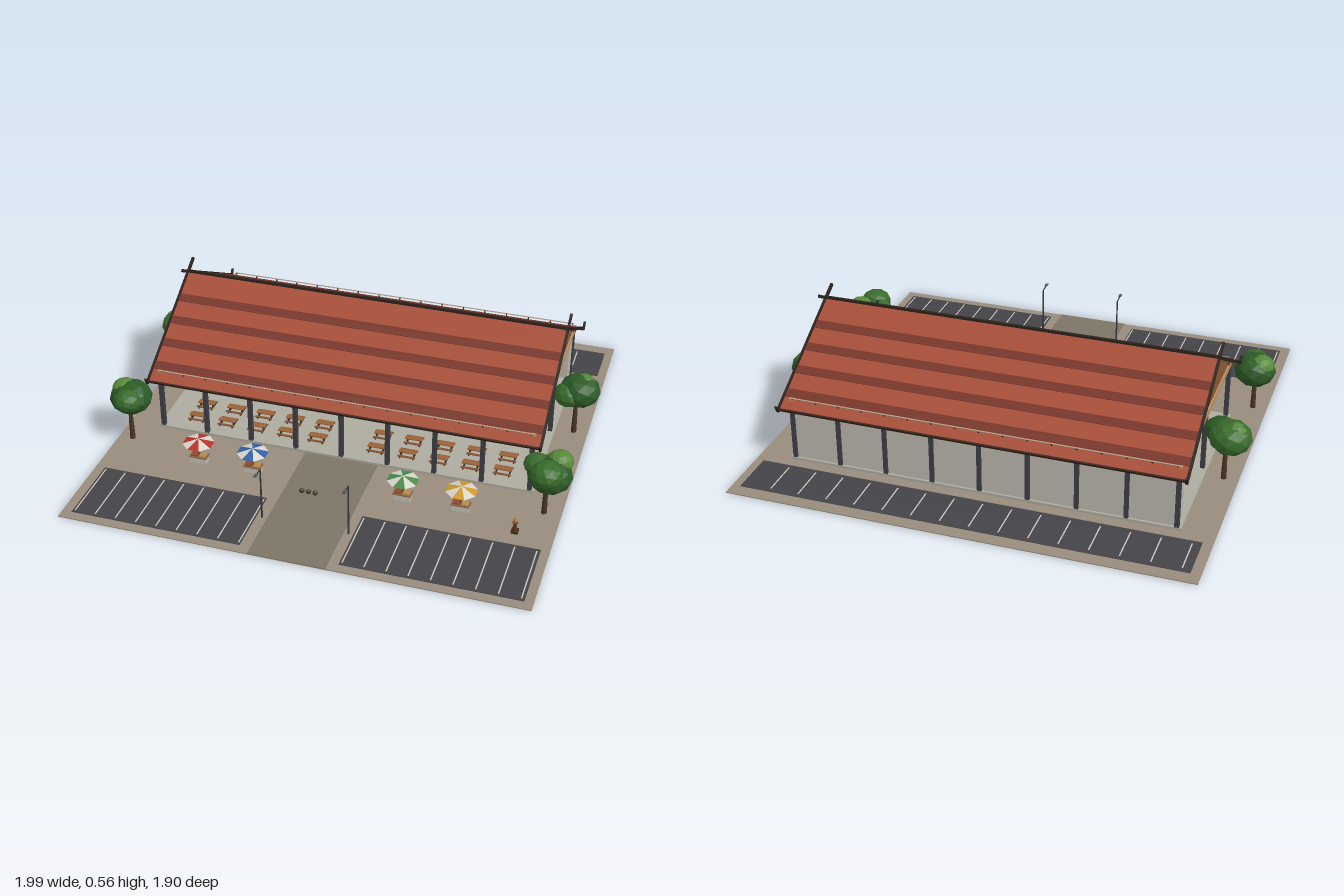
import * as THREE from 'three';

const CX = 0.005, RIDGE_Z = -0.2;

const mats = {};
function mat(color) {
  return (mats[color] ??= new THREE.MeshStandardMaterial({ color, flatShading: true, side: THREE.DoubleSide }));
}
function add(parent, name, geo, color, x = 0, y = 0, z = 0) {
  const m = new THREE.Mesh(geo, mat(color));
  m.name = name;
  m.position.set(x, y, z);
  parent.add(m);
  return m;
}
function box(parent, name, color, w, h, d, x, y, z) {
  return add(parent, name, new THREE.BoxGeometry(w, h, d), color, x, y, z);
}
// Box given by its extents
function span(parent, name, color, x0, x1, y0, y1, z0, z1) {
  return box(parent, name, color, x1 - x0, y1 - y0, z1 - z0, (x0 + x1) / 2, (y0 + y1) / 2, (z0 + z1) / 2);
}
function group(parent, name, x = 0, y = 0, z = 0) {
  const g = new THREE.Group();
  g.name = name;
  g.position.set(x, y, z);
  parent.add(g);
  return g;
}

function parking(parent, x0, x1, z0, z1, lines, first, step, inset) {
  const g = group(parent, 'parkingLot');
  span(g, 'asphalt', 0x444348, x0, x1, 0.001, 0.006, z0, z1);
  for (let i = 0; i < lines; i++) {
    box(g, 'bayLine', 0xc8c6bc, 0.005, 0.002, z1 - z0 - 2 * inset, first + i * step, 0.0065, (z0 + z1) / 2);
  }
}

// One roof slope: local +z runs down from the ridge
function roofSlope(parent, turn) {
  const side = group(parent, 'roofSlope', CX, 0.525, RIDGE_Z);
  side.rotation.y = turn;
  const slope = group(side, 'slopeParts');
  slope.rotation.x = Math.atan2(0.272, 0.485);
  const len = 0.556, half = 0.835, row = len / 4.93;
  span(slope, 'roofTiles', 0xa54d36, -half, half, -0.007, 0, 0, len);
  span(slope, 'roofLining', 0x805532, -half + 0.01, half - 0.01, -0.011, -0.007, 0, len - 0.01);
  for (let i = 1; i <= 4; i++) {
    span(slope, 'darkTileBand', 0x763428, -half, half, -0.002, 0.002, i * row + 0.004, i * row + 0.042);
  }
  span(slope, 'eaveTrim', 0x3a211a, -half, half, -0.012, 0.001, len - 0.005, len + 0.002);
  // Snow guard rail on short posts
  box(slope, 'snowGuard', 0xb39a86, 1.59, 0.005, 0.005, 0, 0.012, 0.505);
  for (let i = 0; i < 17; i++) box(slope, 'guardPost', 0x33261f, 0.005, 0.014, 0.005, -0.79 + i * 0.09875, 0.006, 0.505);
  // Rafter tails below the eave
  for (let i = 0; i < 17; i++) box(slope, 'rafterTail', 0x5a3a22, 0.012, 0.012, 0.1, -0.8 + i * 0.1, -0.017, 0.495);
  // Crossing gable boards with upturned ends
  for (const s of [-1, 1]) {
    span(slope, 'gableBoard', 0x2a201b, s * half - 0.005, s * half + 0.005, -0.008, 0.005, -0.07, len + 0.01);
    span(slope, 'boardTip', 0x2a201b, s * half - 0.005, s * half + 0.005, 0, 0.028, len + 0.004, len + 0.011);
  }
}

function gable(parent, s) {
  const shape = new THREE.Shape([[-0.468, 0.258], [0.468, 0.258], [0, 0.516]].map(p => new THREE.Vector2(...p)));
  const geo = new THREE.ExtrudeGeometry(shape, { depth: 0.01, bevelEnabled: false });
  geo.translate(0, 0, -0.005).rotateY(Math.PI / 2);
  add(parent, 'gable', geo, 0x8a5a35, CX + s * 0.795, 0, RIDGE_Z);
  box(parent, 'gableBeam', 0xb98d63, 0.02, 0.024, 0.89, CX + s * 0.797, 0.272, RIDGE_Z);
}

function tree(parent, x, z, blobs) {
  const g = group(parent, 'tree', x, 0, z);
  add(g, 'trunk', new THREE.CylinderGeometry(0.008, 0.012, 0.17, 7), 0x4a3422, 0, 0.085, 0);
  blobs.forEach(([bx, by, bz, r, color], i) => {
    const leaf = add(g, 'foliage', new THREE.IcosahedronGeometry(r, 1), color, bx, by, bz);
    leaf.scale.y = 0.8;
    leaf.rotation.y = i * 1.3;
  });
}

function picnicTable(parent, x, z) {
  const g = group(parent, 'picnicTable', x, 0.015, z);
  box(g, 'tableTop', 0x9a6238, 0.075, 0.004, 0.026, 0, 0.021, 0);
  for (const s of [-1, 1]) {
    box(g, 'bench', 0x87532e, 0.075, 0.004, 0.01, 0, 0.011, s * 0.026);
    box(g, 'tableLeg', 0x3c3733, 0.005, 0.019, 0.02, s * 0.028, 0.0095, 0);
    box(g, 'benchBar', 0x3c3733, 0.005, 0.009, 0.056, s * 0.028, 0.0045, 0);
  }
}

function stall(parent, x, y, z, width, goods) {
  const g = group(parent, 'stall', x, y, z);
  box(g, 'counter', 0xc2c0b8, width, 0.026, 0.036, 0, 0.013, 0);
  box(g, 'counterTop', 0x8a6242, width + 0.006, 0.004, 0.042, 0, 0.028, 0);
  goods.forEach((c, i) => {
    const w = width / goods.length;
    box(g, 'goods', c, w * 0.8, 0.005, 0.028, (i + 0.5) * w - width / 2, 0.0325, 0);
  });
}

// Umbrella of eight alternating wedges
function umbrella(parent, x, z, color) {
  const g = group(parent, 'umbrella', x, 0, z);
  add(g, 'pole', new THREE.CylinderGeometry(0.0025, 0.0025, 0.115, 6), 0x6b5138, 0, 0.0575, 0);
  for (let i = 0; i < 8; i++) {
    const wedge = new THREE.ConeGeometry(0.066, 0.02, 1, 1, true, (i - 0.5) * Math.PI / 4, Math.PI / 4);
    add(g, 'canopyPanel', wedge, i % 2 ? 0xd9d6cc : color, 0, 0.107, 0);
  }
  stall(g, 0, 0.004, 0, 0.07, [0x8a4a2c, 0xb58a4a]);
}

function lamp(parent, x) {
  const g = group(parent, 'streetLamp', x, 0, 0.715);
  add(g, 'lampPole', new THREE.CylinderGeometry(0.003, 0.004, 0.235, 6), 0x36383c, 0, 0.1175, 0);
  const arm = box(g, 'lampArm', 0x36383c, 0.004, 0.004, 0.05, 0, 0.238, 0.024);
  arm.rotation.x = -0.15;
  box(g, 'lampHead', 0x55575a, 0.012, 0.005, 0.02, 0, 0.242, 0.05);
}

export function createModel() {
  const model = new THREE.Group();
  model.name = 'marketHall';

  // Grounds
  span(model, 'ground', 0x978c7d, -0.945, 0.955, 0, 0.004, -0.955, 0.945);
  span(model, 'entrancePath', 0x7d7466, -0.15, 0.165, 0.001, 0.0055, 0.25, 0.945);
  parking(model, -0.905, -0.195, 0.595, 0.905, 9, -0.895, 0.0865, 0.012);
  parking(model, 0.205, 0.92, 0.595, 0.905, 9, 0.215, 0.0865, 0.012);
  parking(model, -0.905, 0.92, -0.9, -0.7, 15, -0.87, 0.119, 0.02);

  // Hall
  const hall = group(model, 'hall');
  span(hall, 'floor', 0xaeaaa0, CX - 0.815, CX + 0.815, 0.002, 0.015, -0.65, 0.25);
  span(hall, 'backWall', 0xbcb9ac, CX - 0.79, CX + 0.79, 0.015, 0.262, -0.64, -0.625);
  for (const s of [-1, 1]) {
    box(hall, 'wallReturn', 0xbcb9ac, 0.012, 0.247, 0.075, CX + s * 0.792, 0.1385, -0.592);
    gable(hall, s);
    box(hall, 'sideColumn', 0x3d3f47, 0.018, 0.25, 0.018, CX + s * 0.795, 0.135, RIDGE_Z);
  }
  for (const z of [0.24, -0.64]) {
    for (let i = -4; i <= 4; i++) box(hall, 'column', 0x3d3f47, 0.018, 0.25, 0.018, CX + i * 0.199, 0.135, z);
    box(hall, 'eaveBeam', 0x6d4a2e, 1.61, 0.02, 0.018, CX, 0.262, z);
  }
  span(hall, 'entranceLintel', 0xb5b2a6, CX - 0.19, CX + 0.19, 0.233, 0.256, 0.235, 0.243);
  span(hall, 'lintelEdge', 0x4a4c50, CX - 0.19, CX + 0.19, 0.231, 0.235, 0.233, 0.245);
  roofSlope(hall, 0);
  roofSlope(hall, Math.PI);
  box(hall, 'ridgeCap', 0x2a201b, 1.67, 0.01, 0.014, CX, 0.525, RIDGE_Z);

  // Seating and stalls inside
  for (const z of [0.16, 0.06]) {
    for (const s of [-1, 1]) for (let i = 0; i < 5; i++) picnicTable(hall, CX + s * (0.13 + i * 0.135), z);
  }
  const goods = [[0x5f8a3c, 0xb5532f, 0xc79a3a], [0x7a5a3a, 0x6f9444], [0xb5532f, 0xd0b060, 0x5f8a3c]];
  [-0.08, -0.24, -0.4].forEach((z, r) => {
    for (const s of [-1, 1]) for (let i = 0; i < 3; i++) stall(hall, CX + s * (0.14 + i * 0.25), 0.015, z, 0.14, goods[(r + i) % 3]);
  });

  // Forecourt
  [[-0.55, 0xb8322c], [-0.312, 0x345fa8], [0.325, 0x4a8a4c], [0.565, 0xcf9a2e]].forEach(([x, c]) => umbrella(model, x, 0.435, c));
  lamp(model, -0.172);
  lamp(model, 0.185);
  for (let i = 0; i < 3; i++) {
    add(model, 'planter', new THREE.CylinderGeometry(0.012, 0.009, 0.01, 8), 0x4a3526, -0.075 + i * 0.028, 0.009, 0.513);
    add(model, 'plant', new THREE.IcosahedronGeometry(0.009, 0), 0x4d4f2e, -0.075 + i * 0.028, 0.015, 0.513);
  }
  const statue = group(model, 'statue', 0.8, 0.004, 0.515);
  box(statue, 'pedestal', 0x4a2c1c, 0.028, 0.012, 0.028, 0, 0.006, 0);
  add(statue, 'statueBody', new THREE.CylinderGeometry(0.006, 0.01, 0.034, 7), 0x5a341f, 0, 0.029, 0);
  box(statue, 'statueArms', 0x8a5a30, 0.024, 0.006, 0.01, 0, 0.046, 0);
  add(statue, 'statueHead', new THREE.IcosahedronGeometry(0.009, 1), 0xa87a3c, 0, 0.058, 0);

  // Trees
  const D = 0x2c5a26, M = 0x386b2b, L = 0x57883a;
  tree(model, -0.885, -0.235, [[-0.02, 0.21, -0.02, 0.088, M], [0.03, 0.2, 0.04, 0.068, D], [-0.035, 0.235, -0.025, 0.055, L]]);
  tree(model, 0.895, -0.235, [[0.01, 0.21, -0.01, 0.088, D], [-0.03, 0.2, 0.02, 0.065, M], [0.025, 0.24, -0.02, 0.05, L]]);
  tree(model, -0.885, 0.36, [[0, 0.2, -0.02, 0.09, D], [0.01, 0.215, 0.03, 0.06, M], [-0.03, 0.23, -0.03, 0.055, L]]);
  tree(model, 0.885, 0.36, [[0.01, 0.185, -0.01, 0.092, D], [0.005, 0.22, 0.04, 0.068, M], [0.04, 0.23, -0.05, 0.055, L], [-0.045, 0.215, -0.025, 0.055, M]]);

  return model;
}
